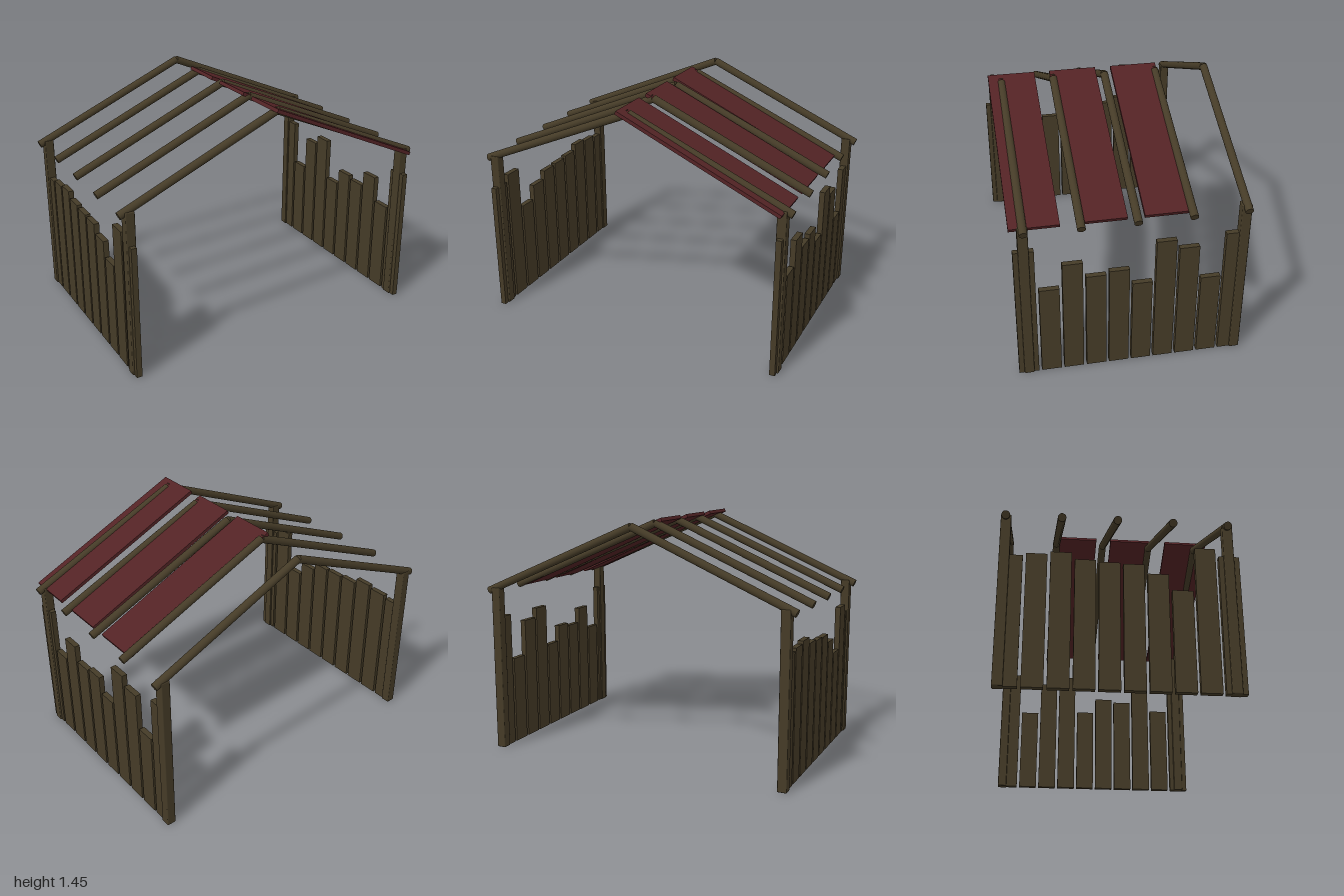
import * as THREE from 'three';
import { RoundedBoxGeometry } from 'three/addons/geometries/RoundedBoxGeometry.js';

export function createModel() {
  const shelter = new THREE.Group();
  shelter.name = 'ruinedShelter';

  const wood = new THREE.MeshStandardMaterial({ color: 0x453b27 });
  wood.name = 'old wood';
  const red = new THREE.MeshStandardMaterial({ color: 0x532325 });
  red.name = 'dark red roof';

  const add = (parent, name, geometry, material, x, y, z) => {
    const mesh = new THREE.Mesh(geometry, material);
    mesh.name = name;
    mesh.position.set(x, y, z);
    parent.add(mesh);
    return mesh;
  };
  const group = (name) => {
    const g = new THREE.Group();
    g.name = name;
    shelter.add(g);
    return g;
  };

  // Corner posts, with softened edges
  const posts = group('cornerPosts');
  const postGeometry = new RoundedBoxGeometry(0.056, 1.02, 0.058, 2, 0.006);
  for (const x of [-0.93, 0.93]) {
    for (const z of [0.597, -0.643]) add(posts, 'cornerPost', postGeometry, wood, x, 0.51, z);
  }

  // Side walls of broken planks, listed from front to back
  const walls = [
    { name: 'leftWall', x: 0.93, heights: [0.86, 0.585, 0.745, 0.645, 0.665, 0.56, 0.83, 0.77, 0.545, 0.835] },
    { name: 'rightWall', x: -0.93, heights: [0.82, 0.865, 0.595, 0.69, 0.745, 0.75, 0.76, 0.8, 0.785, 0.77] },
  ];
  for (const { name, x, heights } of walls) {
    const wall = group(name);
    heights.forEach((h, i) => {
      add(wall, 'plank', new THREE.BoxGeometry(0.034, h, 0.116), wood, x, h / 2, 0.5975 - 0.133 * i);
    });
  }

  // Round rafters, sloping from the ridge to both eaves
  const rafters = group('rafters');
  const eave = new THREE.Vector2(0.987, 0.998);
  const ridge = new THREE.Vector2(0, 1.422);
  const run = eave.clone().sub(ridge);
  const rafterGeometry = new THREE.CylinderGeometry(0.0235, 0.0235, run.length(), 24);
  for (let i = 0; i < 5; i++) {
    for (const side of [-1, 1]) {
      const rafter = add(rafters, 'rafter', rafterGeometry, wood,
        side * (eave.x + ridge.x) / 2, (eave.y + ridge.y) / 2, 0.595 - 0.31 * i);
      rafter.rotation.z = side * Math.atan2(run.x, -run.y);
    }
  }

  // Remaining roof boards on one slope, slightly steeper than the rafters
  const roof = group('roofBoards');
  const top = new THREE.Vector2(-0.045, 1.444);
  const bottom = new THREE.Vector2(0.94, 1.005);
  const slope = bottom.clone().sub(top);
  const boardGeometry = new THREE.BoxGeometry(slope.length(), 0.022, 0.277);
  for (const z of [0.532, 0.164, -0.208]) {
    const board = add(roof, 'roofBoard', boardGeometry, red,
      (top.x + bottom.x) / 2, (top.y + bottom.y) / 2, z);
    board.rotation.z = Math.atan2(slope.y, slope.x);
  }

  return shelter;
}
